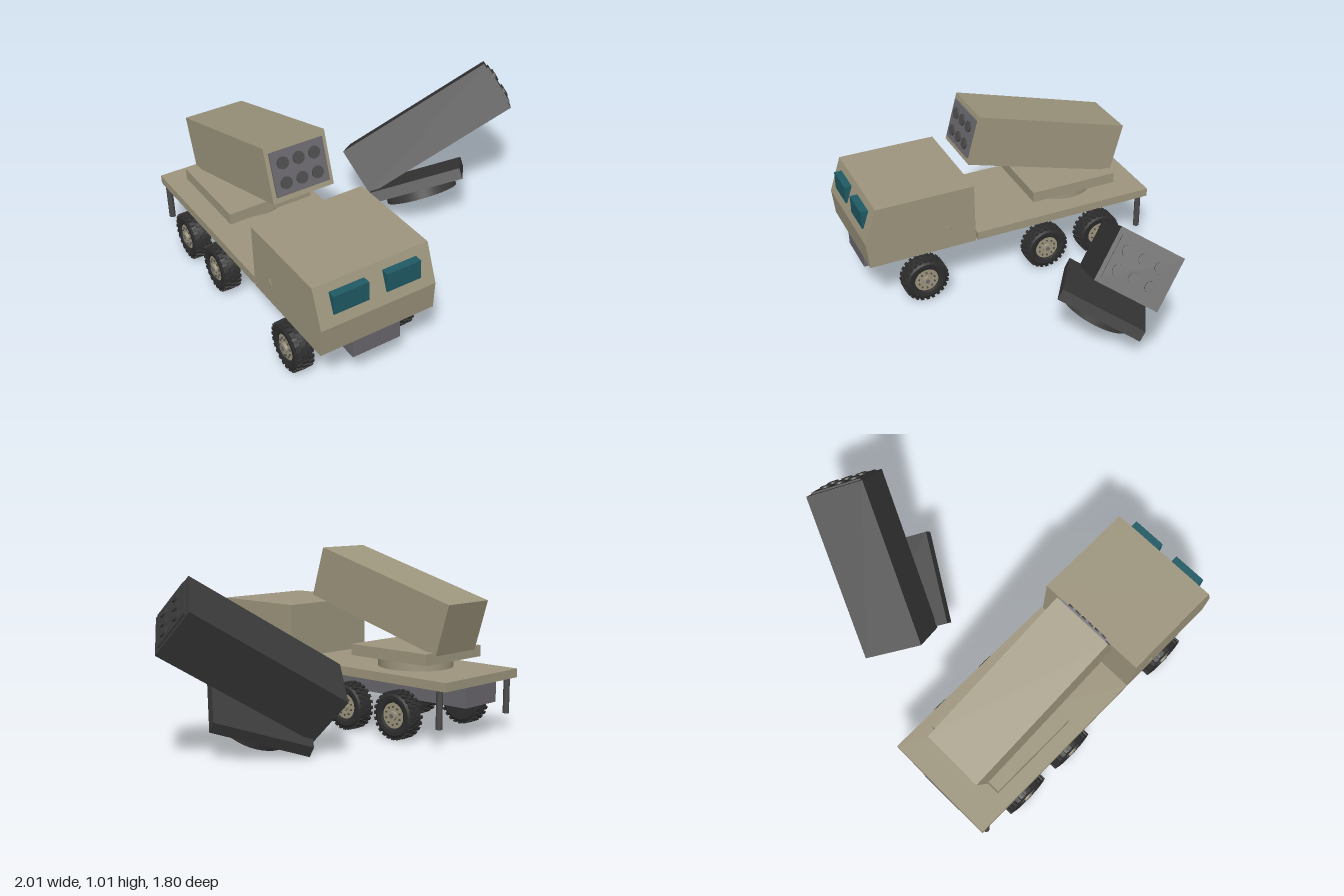
import * as THREE from 'three';
import { toCreasedNormals } from 'three/addons/utils/BufferGeometryUtils.js';

const material = (name, color) => {
  const m = new THREE.MeshStandardMaterial({ color });
  m.name = name;
  return m;
};

export function createModel() {
  const tan = material('tan paint', 0x9e967e);
  const grey = material('chassis grey', 0x69676d);
  const steel = material('dark steel', 0x4b4b4b);
  const char = material('charred black', 0x3a3a3a);
  const rubber = material('tyre rubber', 0x2e2e2e);
  const glass = material('teal glass', 0x1f5a64);

  const add = (parent, name, geometry, mat, x = 0, y = 0, z = 0) => {
    const mesh = new THREE.Mesh(geometry, mat);
    mesh.name = name;
    mesh.position.set(x, y, z);
    parent.add(mesh);
    return mesh;
  };
  const group = (parent, name) => {
    const g = new THREE.Group();
    g.name = name;
    parent.add(g);
    return g;
  };
  const box = (w, h, d) => new THREE.BoxGeometry(w, h, d);
  // cylinders lying along x and along z
  const cylX = (r, len, n) => new THREE.CylinderGeometry(r, r, len, n).rotateZ(-Math.PI / 2);
  const cylZ = (r, len, n) => new THREE.CylinderGeometry(r, r, len, n).rotateX(Math.PI / 2);

  const model = new THREE.Group();
  model.name = 'launcherTruckAndWreck';
  const truck = group(model, 'truck');
  truck.position.x = -0.65;

  // Chassis and load bed
  add(truck, 'chassis', box(0.275, 0.115, 1.76), grey, 0, 0.253, -0.01);
  add(truck, 'bed', box(0.65, 0.05, 1.13), tan, 0, 0.335, -0.333);

  // Cab: side profile in (z, y), extruded across the width
  const profile = [[0.245, 0.31], [0.885, 0.31], [0.9, 0.467], [0.828, 0.675], [0.245, 0.675]];
  const cabShape = new THREE.Shape(profile.map(([z, y]) => new THREE.Vector2(z, y)));
  const cabGeometry = new THREE.ExtrudeGeometry(cabShape, { depth: 0.65, bevelEnabled: false });
  cabGeometry.translate(0, 0, -0.325).rotateY(-Math.PI / 2);
  add(truck, 'cab', cabGeometry, tan);

  // Windscreens, door handles and rear legs, one per side
  for (const s of [-1, 1]) {
    add(truck, 'windscreen', box(0.195, 0.105, 0.05), glass, s * 0.148, 0.578, 0.863);
    const handle = add(truck, 'doorHandle', cylX(0.026, 0.012, 4), tan, s * 0.325, 0.435, 0.413);
    handle.scale.z = 0.8;
    add(truck, 'rearLeg', new THREE.CylinderGeometry(0.018, 0.018, 0.21, 16), steel, s * 0.305, 0.206, -0.845);
  }

  // Wheel parts, outer side towards +x
  const tyreProfile = [[0, -0.05], [0.11, -0.05], [0.124, -0.042], [0.129, 0], [0.124, 0.042],
    [0.11, 0.05], [0.084, 0.05], [0.074, 0.045], [0.071, 0.03], [0, 0.03]];
  const tyreGeometry = toCreasedNormals(
    new THREE.LatheGeometry(tyreProfile.map(([r, y]) => new THREE.Vector2(r, y)), 40).rotateZ(-Math.PI / 2), 0.5);
  const treadGeometry = box(0.028, 0.012, 0.018);
  const rimGeometry = cylX(0.071, 0.012, 32);
  const hubGeometry = cylX(0.026, 0.018, 20);
  const capGeometry = cylX(0.012, 0.012, 16);
  const boltGeometry = cylX(0.0055, 0.008, 6);

  const makeWheel = (x, z) => {
    const wheel = group(truck, 'wheel');
    wheel.position.set(x, 0.137, z);
    if (x < 0) wheel.rotation.y = Math.PI;
    add(wheel, 'tyre', tyreGeometry, rubber);
    // three staggered rows of tread blocks
    const count = 24;
    for (let i = 0; i < count; i++) {
      for (const row of [-1, 0, 1]) {
        const a = ((i + (row === 0 ? 0.5 : 0)) / count) * Math.PI * 2;
        const r = row === 0 ? 0.13 : 0.129;
        const block = add(wheel, 'treadBlock', treadGeometry, rubber, row * 0.032, r * Math.cos(a), r * Math.sin(a));
        block.rotation.x = a;
      }
    }
    add(wheel, 'rim', rimGeometry, tan, 0.034);
    add(wheel, 'hub', hubGeometry, tan, 0.046);
    add(wheel, 'hubCap', capGeometry, grey, 0.054);
    for (let i = 0; i < 10; i++) {
      const a = (i / 10) * Math.PI * 2;
      add(wheel, 'wheelBolt', boltGeometry, steel, 0.043, 0.05 * Math.cos(a), 0.05 * Math.sin(a));
    }
  };
  for (const z of [0.565, -0.205, -0.56]) for (const x of [-0.3, 0.3]) makeWheel(x, z);

  // Launcher: turntable, platform and a raised pod with six tubes
  const makeLauncher = (parent, name, body, face, tube) => {
    const launcher = group(parent, name);
    add(launcher, 'turntable', new THREE.CylinderGeometry(0.213, 0.213, 0.056, 40), body, 0, 0.028, 0);
    add(launcher, 'platform', box(0.493, 0.064, 0.54), body, 0, 0.088, 0);
    const pod = group(launcher, 'pod');
    pod.position.set(0, 0.378, 0.143);
    pod.rotation.x = THREE.MathUtils.degToRad(-16);
    add(pod, 'podBody', box(0.35, 0.296, 0.965), body);
    add(pod, 'podFrontPanel', box(0.305, 0.234, 0.02), face, 0, 0, 0.483);
    for (const x of [-0.09, 0, 0.09]) {
      for (const y of [-0.053, 0.053]) {
        add(pod, 'tubeEnd', cylZ(0.032, 0.03, 24), tube, x, y, 0.488);
      }
    }
    return launcher;
  };
  makeLauncher(truck, 'launcher', tan, grey, steel).position.set(0, 0.36, -0.433);

  // Burnt launcher lying tilted beside the truck
  const wreck = makeLauncher(model, 'wreckedLauncher', char, char, char);
  wreck.position.set(0.37, 0.134, -0.176);
  wreck.rotation.set(THREE.MathUtils.degToRad(-30), THREE.MathUtils.degToRad(55), 0);

  return model;
}
